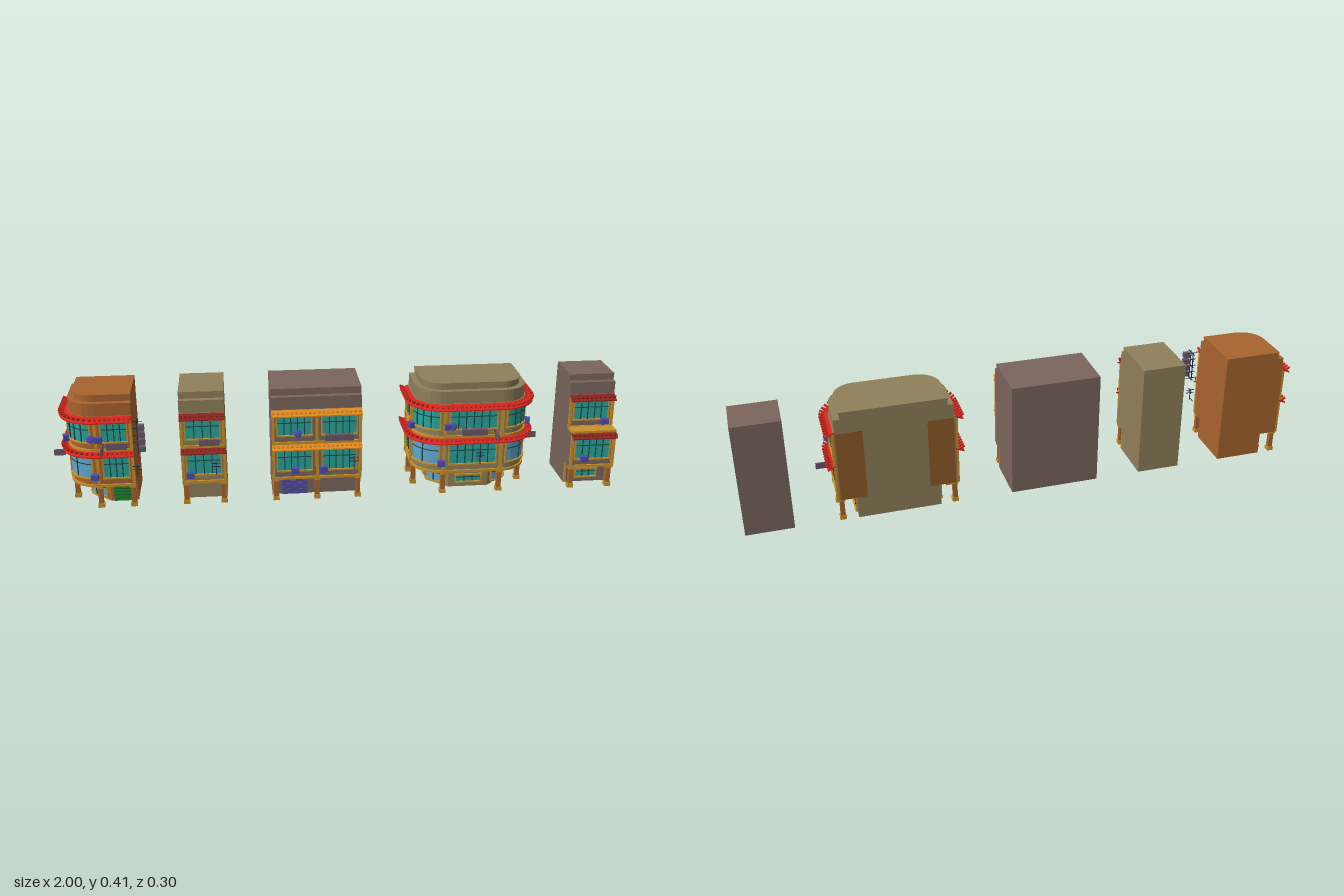
import * as THREE from 'three';
import { mergeGeometries } from 'three/addons/utils/BufferGeometryUtils.js';

const COL = { orange: 0xa8642f, beige: 0x8f7f5a, brown: 0x7a655c, yellow: 0xc8902a, red: 0xd2261e, darkRed: 0x8e2420,
  tileOrange: 0xe08a1c, teal: 0x2aa39c, sky: 0x5fa6cc, dark: 0x1f4a44, purple: 0x6a5668, blue: 0x4a4ab0, green: 0x1f8a2c,
  patch: 0x8f5a28, iron: 0x26284a, hole: 0x40342f };

// Facade line in plan, running left to right, with optional rounded corners and side runs.
function facade(x0, x1, zf, rl = 0, rr = 0, zb = -0.15) {
  const q = Math.PI / 2;
  const lens = [rl ? zf - rl - zb : 0, rl * q, x1 - x0 - rl - rr, rr * q, rr ? zf - rr - zb : 0];
  const cuts = [0];
  lens.forEach(l => cuts.push(cuts.at(-1) + l));
  // Point at distance s, pushed outwards by o; n is the outward direction
  const at = (s, o = 0) => {
    let k = 0;
    while (k < 4 && s > cuts[k + 1] + 1e-6) k++;
    const d = s - cuts[k];
    let x, z, a;
    if (k === 0 && rl) { x = x0; z = zb + d; a = 0; }
    else if (k === 1 && rl) { a = d / rl; x = x0 + rl - rl * Math.cos(a); z = zf - rl + rl * Math.sin(a); }
    else if (k <= 2) { x = x0 + rl + (k === 2 ? d : 0); z = zf; a = q; }
    else if (k === 3) { a = q + d / rr; x = x1 - rr - rr * Math.cos(a); z = zf - rr + rr * Math.sin(a); }
    else { x = x1; z = zf - rr - d; a = Math.PI; }
    const nx = -Math.cos(a), nz = Math.sin(a);
    return { x: x + nx * o, z: z + nz * o, nx, nz };
  };
  return { x0, x1, zb, rl, rr, cuts, total: cuts[5], at };
}

// Distances at which a sweep from s0 to s1 needs a section
function stations(f, s0, s1, step = 0.02) {
  const list = [s0];
  for (let k = 0; k < 5; k++) {
    const a = Math.max(s0, f.cuts[k]), b = Math.min(s1, f.cuts[k + 1]);
    if (b - a < 1e-6) continue;
    const n = k % 2 ? Math.max(1, Math.round((b - a) / step)) : 1;
    for (let i = 1; i <= n; i++) list.push(a + (b - a) * i / n);
  }
  return list;
}

// Sweep a counter-clockwise [out, y] profile along the facade
function sweep(f, s0, s1, prof, step) {
  const pos = [], idx = [], st = stations(f, s0, s1, step), m = prof.length;
  st.forEach(s => prof.forEach(([o, y]) => { const p = f.at(s, o); pos.push(p.x, y, p.z); }));
  for (let i = 0; i < st.length - 1; i++) for (let j = 0; j < m; j++) {
    const a = i * m + j, b = i * m + (j + 1) % m;
    idx.push(a, a + m, b + m, a, b + m, b);
  }
  const e = (st.length - 1) * m;
  for (let j = 1; j < m - 1; j++) idx.push(0, j, j + 1, e, e + j + 1, e + j);
  const g = new THREE.BufferGeometry();
  g.setAttribute('position', new THREE.Float32BufferAttribute(pos, 3));
  g.setIndex(idx);
  return g;
}
const band = (f, s0, s1, y0, y1, o0, o1, step) => sweep(f, s0, s1, [[o0, y0], [o1, y0], [o1, y1], [o0, y1]], step);
const box = (w, h, d, x, y, z) => new THREE.BoxGeometry(w, h, d).translate(x, y, z);

// Solid storey filling the plan behind the facade
function storey(f, y0, y1, inset = 0, step = 0.02) {
  const pts = stations(f, 0, f.total, step).map(s => { const p = f.at(s, -inset); return new THREE.Vector2(p.x, -p.z); });
  if (!f.rl) pts.unshift(new THREE.Vector2(f.x0, -f.zb));
  if (!f.rr) pts.push(new THREE.Vector2(f.x1, -f.zb));
  return new THREE.ExtrudeGeometry(new THREE.Shape(pts), { depth: y1 - y0, bevelEnabled: false })
    .rotateX(-Math.PI / 2).translate(0, y0, 0);
}

// A building collects geometry by part name and merges it
function building(name) {
  const parts = new Map();
  return {
    add(part, color, ...geos) {
      if (!parts.has(part)) parts.set(part, { color, geos: [] });
      parts.get(part).geos.push(...geos.map(g => {
        const n = g.index ? g.toNonIndexed() : g;
        n.deleteAttribute('uv'); n.deleteAttribute('normal');
        return n;
      }));
    },
    finish() {
      const group = new THREE.Group();
      group.name = name;
      parts.forEach(({ color, geos }, part) => {
        const g = mergeGeometries(geos);
        g.computeVertexNormals();
        const mesh = new THREE.Mesh(g, new THREE.MeshStandardMaterial({ color }));
        mesh.name = part;
        group.add(mesh);
      });
      return group;
    }
  };
}

// Sloping eave with a row of round tiles
function eave(b, f, y, color) {
  b.add('eaveTiles', color, sweep(f, 0, f.total, [[0, y - 0.004], [0.028, y - 0.016], [0.028, y - 0.012], [0, y + 0.002]]));
  const n = Math.round(f.total / 0.016);
  for (let i = 0; i < n; i++) {
    const p = f.at((i + 0.5) * f.total / n, 0.015);
    b.add('eaveTiles', color, new THREE.CylinderGeometry(0.0045, 0.0055, 0.034, 6)
      .rotateX(Math.PI / 2 - 0.45).rotateY(Math.atan2(p.nx, p.nz)).translate(p.x, y - 0.005, p.z));
  }
}

// Framed window with mullions and a transom
function windowBay(b, f, s0, s1, y0, y1, panes, glass) {
  const t = 0.005;
  b.add(glass === COL.sky ? 'largePanes' : 'windowPanes', glass, band(f, s0, s1, y0, y1, -0.002, 0.002));
  b.add('windowFrames', COL.yellow, band(f, s0 - t, s1 + t, y0 - t, y0, -0.002, 0.009), band(f, s0 - t, s1 + t, y1, y1 + t, -0.002, 0.006),
    band(f, s0 - t, s0, y0, y1, -0.002, 0.006), band(f, s1, s1 + t, y0, y1, -0.002, 0.006));
  for (let i = 1; i < panes; i++) {
    const s = s0 + (s1 - s0) * i / panes;
    b.add('mullions', COL.dark, band(f, s - 0.0017, s + 0.0017, y0, y1, 0, 0.005));
  }
  const ym = y0 + (y1 - y0) * 0.68;
  b.add('mullions', COL.dark, band(f, s0, s1, ym - 0.0015, ym + 0.0015, 0, 0.004));
}

// One upper floor: beam, pilasters, windows, eave
function upperFloor(b, f, bays, y0, y1, tile, bigCorners) {
  b.add('beams', COL.yellow, band(f, 0, f.total, y0, y0 + 0.009, -0.002, 0.006), band(f, 0, f.total, y1 - 0.016, y1 - 0.009, -0.002, 0.005));
  bays.forEach((s, i) => {
    const c = Math.min(Math.max(s, 0.005), f.total - 0.005);
    b.add('pilasters', COL.yellow, band(f, c - 0.005, c + 0.005, y0, y1 - 0.008, -0.002, 0.008));
    if (i === bays.length - 1) return;
    const w = bays[i + 1] - s, corner = bigCorners && w > 0.13 && w < 0.17;
    windowBay(b, f, s + 0.02, bays[i + 1] - 0.02, y0 + 0.035, y1 - 0.025, corner ? 2 : Math.max(3, Math.round(w / 0.035)), corner ? COL.sky : COL.teal);
  });
  eave(b, f, y1, tile);
}

// Arcade posts on square bases
function posts(b, f, bays) {
  bays.forEach(s => {
    const p = f.at(Math.min(Math.max(s, 0.012), f.total - 0.012), -0.008), r = Math.atan2(p.nx, p.nz);
    b.add('postShafts', COL.orange, new THREE.BoxGeometry(0.016, 0.08, 0.016).rotateY(r).translate(p.x, 0.04, p.z));
    for (const [h, y] of [[0.014, 0.007], [0.007, 0.076]])
      b.add('postBases', COL.yellow, new THREE.BoxGeometry(0.022, h, 0.022).rotateY(r).translate(p.x, y, p.z));
  });
}

// Stepped parapet
function parapet(b, f, color) {
  b.add('parapet', color, storey(f, 0.338, 0.385, 0.004), storey(f, 0.385, 0.406, 0.025), storey(f, 0.405, 0.41, 0.022));
}

// Small wall fittings
function airUnit(b, f, s, y) {
  const p = f.at(s, 0.014), r = Math.atan2(p.nx, p.nz);
  b.add('airUnits', COL.blue, new THREE.BoxGeometry(0.026, 0.02, 0.018).rotateY(r).translate(p.x, y, p.z));
}
function dish(b, x, y, z) {
  b.add('dishes', COL.blue, new THREE.SphereGeometry(0.014, 10, 5).scale(1, 1, 0.4).rotateX(-0.4).translate(x, y, z + 0.018));
  b.add('ironwork', COL.iron, box(0.003, 0.003, 0.025, x, y, z + 0.01));
}
function aerial(b, x, y, z) {
  b.add('ironwork', COL.iron, box(0.002, 0.05, 0.002, x, y + 0.015, z + 0.025), box(0.002, 0.002, 0.03, x, y, z + 0.012));
  for (const dy of [0.022, 0.034]) b.add('ironwork', COL.iron, box(0.032, 0.002, 0.002, x, y + dy, z + 0.025), box(0.002, 0.002, 0.024, x, y + dy, z + 0.025));
}
function planter(b, x, y, z, w) {
  b.add('balconyBoxes', COL.purple, box(w, 0.022, 0.016, x, y, z + 0.008));
}

// Corner blocks with curved facades and a chamfered shop below
function cornerBlock(name, x0, x1, rl, rr, color) {
  const b = building(name), f = facade(x0, x1, 0.07, rl, rr);
  const shop = facade(x0 + 0.06, rr ? x1 - 0.06 : x1, 0.02, 0.07, rr ? 0.07 : 0);
  const bays = [...new Set(f.cuts)];
  b.add('walls', color, storey(f, 0.08, 0.34), storey(shop, 0, 0.081, 0, 1));
  parapet(b, f, color);
  upperFloor(b, f, bays, 0.08, 0.213, COL.red, true);
  upperFloor(b, f, bays, 0.213, 0.338, COL.red, false);
  posts(b, f, bays);
  const c = shop.cuts;
  for (const k of rr ? [0, 1, 3, 4] : [0, 1]) windowBay(b, shop, c[k] + 0.015, c[k + 1] - 0.015, 0.022, 0.066, 2, COL.sky);
  const p = f.at(f.cuts[1] - 0.02);
  airUnit(b, f, f.cuts[1] + 0.03, 0.243);
  airUnit(b, f, f.cuts[2] + 0.01, 0.26);
  airUnit(b, f, f.cuts[2] - 0.01, 0.122);
  return { b, f, shop, p };
}

// Terraced blocks with straight facades
function terrace(name, x0, x1, n, color, tile, setBack = false) {
  const b = building(name), f = facade(x0, x1, 0.07), back = facade(x0, x1, 0.02), top = setBack ? back : f;
  const bays = Array.from({ length: n + 1 }, (_, i) => f.total * i / n);
  b.add('walls', color, storey(back, 0, 0.081), storey(f, 0.08, 0.213), storey(top, 0.212, 0.34));
  b.add('floorOpening', COL.hole, box((x1 - x0) * 0.55, 0.002, 0.05, (x0 + x1) / 2, 0, -0.04));
  parapet(b, top, color);
  upperFloor(b, f, bays, 0.08, 0.213, tile);
  upperFloor(b, top, bays, 0.213, 0.338, tile);
  posts(b, f, bays);
  for (const s of [0.004, back.total - 0.004]) b.add('pilasters', COL.yellow, band(back, s - 0.004, s + 0.004, 0, 0.08, 0, 0.006));
  return { b, f, back };
}

export function createModel() {
  const model = new THREE.Group();

  // Orange corner block with a green shop door, sign rack and hanging signs
  const A = cornerBlock('orangeCornerBlock', -0.935, -0.71, 0.1, 0, COL.orange);
  A.b.add('shopDoor', COL.green, box(0.075, 0.058, 0.006, -0.757, 0.03, 0.021));
  for (let i = 0; i < 4; i++) A.b.add('doorSlats', COL.dark, box(0.07, 0.002, 0.008, -0.757, 0.012 + i * 0.012, 0.021));
  for (const z of [0.08, 0.1]) A.b.add('ironwork', COL.iron, box(0.003, 0.115, 0.003, -0.69, 0.275, z));
  for (let i = 0; i < 5; i++) {
    const y = 0.222 + i * 0.026;
    A.b.add('ironwork', COL.iron, box(0.003, 0.002, 0.05, -0.69, y, 0.095), box(0.035, 0.002, 0.002, -0.69, y, 0.09));
    if (i < 4) A.b.add('signPanels', COL.purple, box(0.022, 0.02, 0.018, -0.676, y + 0.012, 0.109));
  }
  A.b.add('signPanels', COL.purple, box(0.04, 0.022, 0.005, -0.98, 0.165, -0.05), box(0.005, 0.026, 0.05, -0.81, 0.238, 0.127));
  A.b.add('ironwork', COL.iron, box(0.05, 0.003, 0.003, -0.95, 0.168, -0.05), box(0.003, 0.003, 0.05, -0.81, 0.242, 0.09));
  planter(A.b, -0.765, 0.235, 0.075, 0.07);
  aerial(A.b, -0.7, 0.13, 0.075);
  dish(A.b, -0.85, 0.265, 0.07);

  // Narrow beige terrace
  const B = terrace('beigeTerrace', -0.55, -0.395, 1, COL.beige, COL.darkRed);
  planter(B.b, -0.45, 0.237, 0.075, 0.07);
  airUnit(B.b, B.f, 0.03, 0.115);
  aerial(B.b, -0.43, 0.13, 0.075);

  // Wide brown terrace with a blue shutter
  const C = terrace('brownTerrace', -0.235, 0.08, 2, COL.brown, COL.tileOrange);
  C.b.add('shutter', COL.blue, box(0.09, 0.06, 0.006, -0.155, 0.03, 0.021));
  for (let i = 0; i < 5; i++) C.b.add('shutterSlats', COL.purple, box(0.09, 0.002, 0.009, -0.155, 0.008 + i * 0.011, 0.021));
  planter(C.b, 0.0, 0.238, 0.075, 0.1);
  dish(C.b, -0.145, 0.258, 0.07);
  airUnit(C.b, C.f, 0.08, 0.118);
  airUnit(C.b, C.f, 0.18, 0.118);
  aerial(C.b, 0.05, 0.13, 0.075);

  // Large beige block with both corners rounded and patched rear wall
  const D = cornerBlock('beigeRoundedBlock', 0.275, 0.68, 0.1, 0.1, COL.beige);
  for (const x of [0.325, 0.63]) D.b.add('rearPatches', COL.patch, box(0.09, 0.255, 0.004, x, 0.2075, -0.15));
  windowBay(D.b, D.shop, D.shop.total / 2 - 0.045, D.shop.total / 2 + 0.045, 0.022, 0.045, 3, COL.teal);
  D.b.add('signPanels', COL.purple, box(0.04, 0.022, 0.005, 0.72, 0.165, -0.05), box(0.005, 0.026, 0.05, 0.55, 0.238, 0.127));
  D.b.add('ironwork', COL.iron, box(0.05, 0.003, 0.003, 0.695, 0.168, -0.05), box(0.003, 0.003, 0.05, 0.55, 0.242, 0.09));
  planter(D.b, 0.48, 0.238, 0.075, 0.09);
  dish(D.b, 0.4, 0.262, 0.07);
  airUnit(D.b, D.f, D.f.cuts[4] - 0.03, 0.243);
  aerial(D.b, 0.5, 0.13, 0.075);

  // Narrow brown terrace with an open balcony on the set-back upper floor
  const E = terrace('balconyTerrace', 0.835, 0.998, 1, COL.brown, COL.darkRed, true);
  E.b.add('balconyFloor', COL.yellow, box(0.163, 0.009, 0.055, 0.9165, 0.2165, 0.0475));
  windowBay(E.b, E.back, 0.045, 0.118, 0.022, 0.05, 3, COL.teal);
  airUnit(E.b, E.back, 0.13, 0.24);
  airUnit(E.b, E.f, 0.05, 0.118);

  for (const { b } of [A, B, C, D, E]) model.add(b.finish());
  return model;
}
